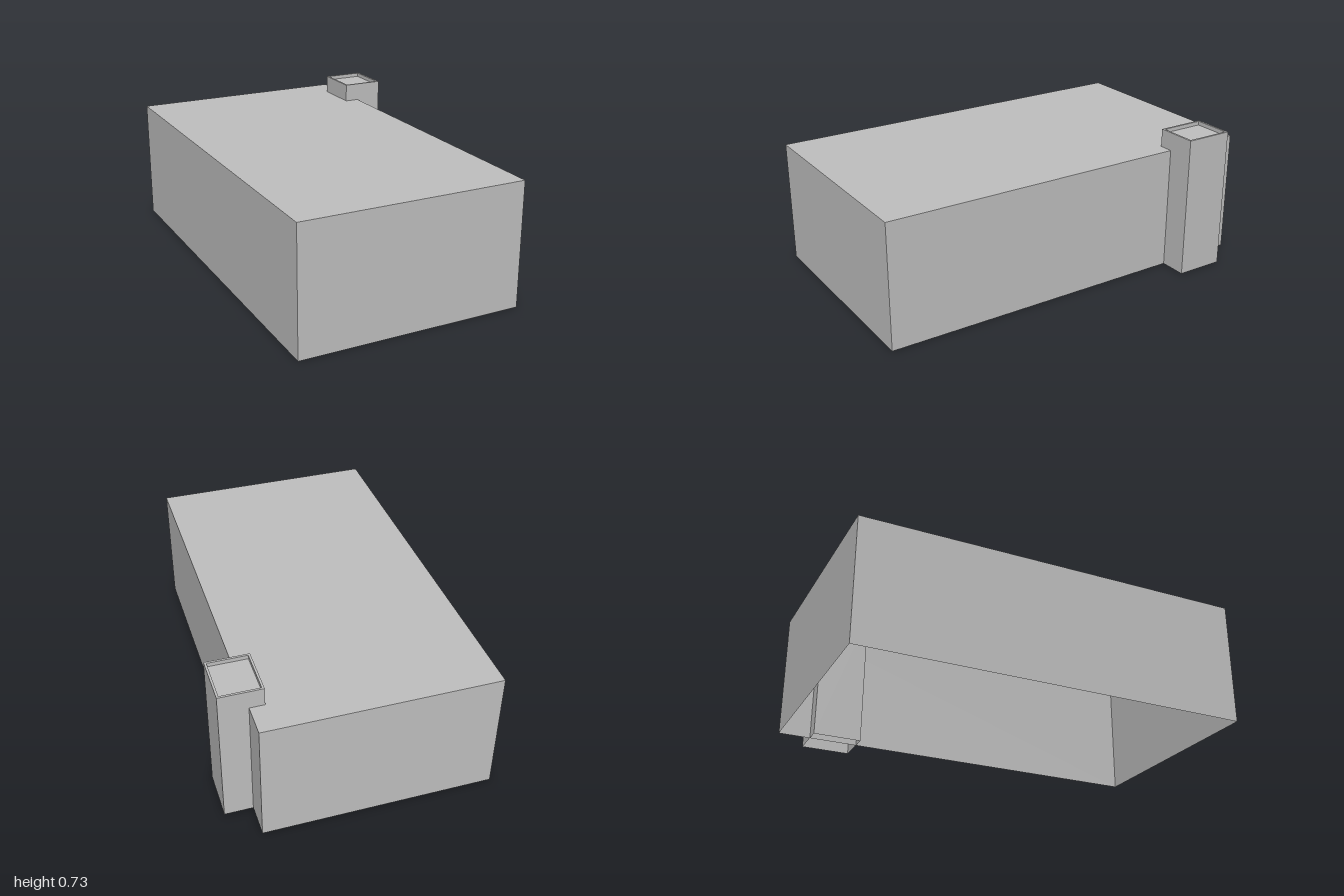
import * as THREE from 'three';

const grey = new THREE.MeshStandardMaterial({ color: 0xc0c0c0, side: THREE.DoubleSide });
grey.name = 'plain grey';

// Box between two corners, keeping only the chosen sides (0 +x, 1 -x, 2 +y, 3 -y, 4 +z, 5 -z)
function shell(name, [x0, y0, z0], [x1, y1, z1], sides) {
  const geometry = new THREE.BoxGeometry(x1 - x0, y1 - y0, z1 - z0);
  const index = Array.from(geometry.index.array);
  geometry.setIndex(sides.flatMap((s) => index.slice(s * 6, s * 6 + 6)));
  geometry.clearGroups();
  geometry.translate((x0 + x1) / 2, (y0 + y1) / 2, (z0 + z1) / 2);
  const mesh = new THREE.Mesh(geometry, grey);
  mesh.name = name;
  return mesh;
}

export function createModel() {
  const model = new THREE.Group();
  model.name = 'building';
  const walls = [0, 1, 4, 5];

  // Main block, open underneath
  model.add(shell('mainBlock', [-0.64, 0, -1], [0.5, 0.635, 1], [...walls, 2]));

  // Chimney with a thin rim around a shallow sunken top
  const x0 = 0.427, x1 = 0.64, z0 = -0.838, z1 = -0.59, top = 0.728;
  const rim = 0.011, floor = top - 0.02;
  const chimney = new THREE.Group();
  chimney.name = 'chimney';
  chimney.add(shell('chimneyWalls', [x0, 0, z0], [x1, top, z1], walls));

  const ring = new THREE.Shape();
  ring.moveTo(x0, -z0).lineTo(x0, -z1).lineTo(x1, -z1).lineTo(x1, -z0).closePath();
  const hole = new THREE.Path();
  hole.moveTo(x0 + rim, -z0 - rim).lineTo(x1 - rim, -z0 - rim);
  hole.lineTo(x1 - rim, -z1 + rim).lineTo(x0 + rim, -z1 + rim).closePath();
  ring.holes.push(hole);
  const rimMesh = new THREE.Mesh(new THREE.ShapeGeometry(ring).rotateX(-Math.PI / 2).translate(0, top, 0), grey);
  rimMesh.name = 'chimneyRim';
  chimney.add(rimMesh);

  // Inner sides and floor of the sunken top
  const a = [x0 + rim, floor, z0 + rim], b = [x1 - rim, top, z1 - rim];
  chimney.add(shell('chimneyRecessWalls', a, b, walls));
  chimney.add(shell('chimneyRecessFloor', [a[0], floor - 0.005, a[2]], [b[0], floor, b[2]], [2]));
  model.add(chimney);

  return model;
}
